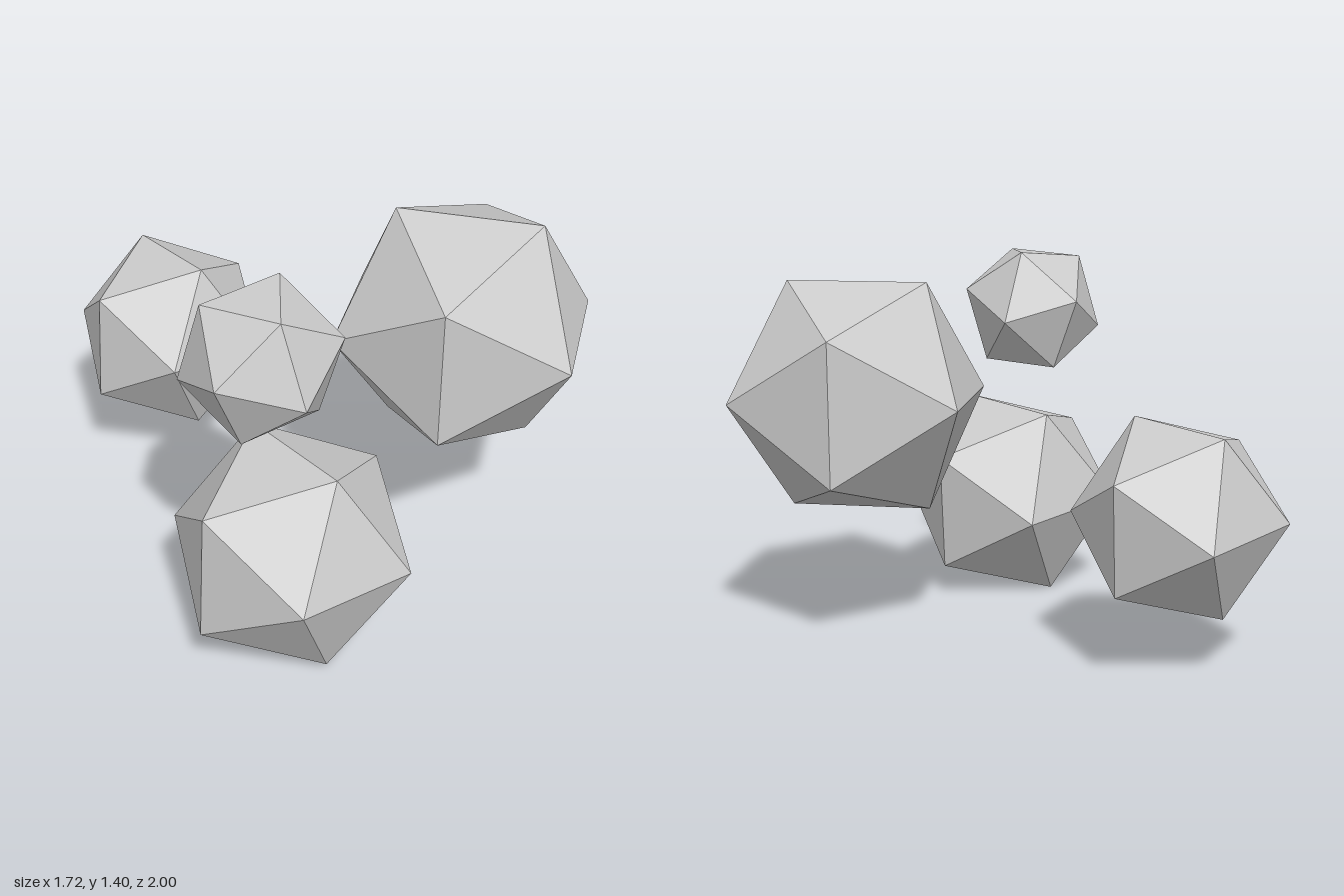
import * as THREE from 'three';

// Each rock: centre, radius and the directions of two neighbouring corners, which fix its tilt
const ROCKS = [
  { name: 'largeRock', centre: [0.414, 0.925, 0.5], radius: 0.5, a: [0, 0, 1], b: [2, 0, 1] },
  { name: 'frontRock', centre: [-0.467, 0.392, 0.522], radius: 0.442, a: [0.192, 0, 0.4], b: [-0.268, 0.039, 0.35] },
  { name: 'rearRock', centre: [-0.026, 0.563, -0.648], radius: 0.391, a: [0.012, 0.342, 0.19], b: [0.052, 0.318, -0.22] },
  { name: 'smallRock', centre: [-0.542, 1.163, 0.46], radius: 0.284, a: [-0.058, 0.228, 0.16], b: [0.142, 0.238, -0.06] },
];

// Turn the icosahedron so that its top edge runs from corner a to corner b
function tilt(a, b) {
  const va = new THREE.Vector3(...a).normalize();
  const vb = new THREE.Vector3(...b).normalize();
  const x = vb.clone().sub(va).normalize();
  const y = vb.clone().add(va).normalize();
  const z = new THREE.Vector3().crossVectors(x, y);
  return new THREE.Matrix4().makeBasis(x, y, z);
}

export function createModel() {
  const group = new THREE.Group();
  group.name = 'floatingRocks';
  const material = new THREE.MeshStandardMaterial({ color: 0xcccccc, flatShading: true });

  for (const { name, centre, radius, a, b } of ROCKS) {
    const rock = new THREE.Mesh(new THREE.IcosahedronGeometry(radius, 0), material);
    rock.name = name;
    rock.position.set(...centre);
    rock.quaternion.setFromRotationMatrix(tilt(a, b));
    group.add(rock);
  }
  return group;
}
